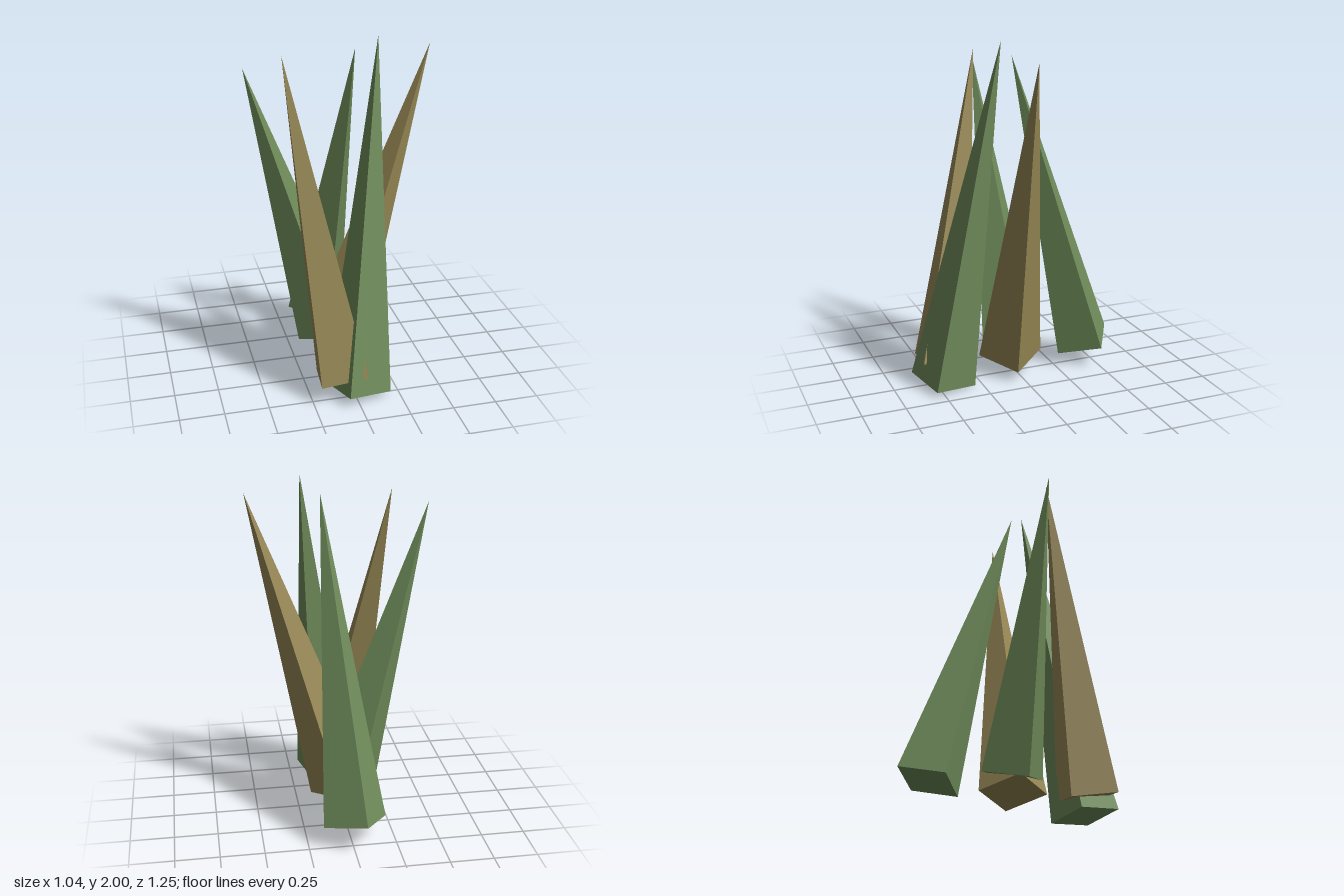
import * as THREE from 'three';

const RADIUS = 0.19; // half diagonal of each square base

// Four-sided spike from its tip, base centre and the direction of one base corner
function makeSpike(name, material, tip, base, corner) {
  const t = new THREE.Vector3(...tip);
  const b = new THREE.Vector3(...base);
  const axis = t.clone().sub(b);
  const height = axis.length();
  axis.normalize();
  const out = new THREE.Vector3(...corner).sub(b);
  out.addScaledVector(axis, -out.dot(axis)).normalize();
  const side = new THREE.Vector3().crossVectors(axis, out);

  const geometry = new THREE.ConeGeometry(RADIUS, height, 4).toNonIndexed();
  geometry.computeVertexNormals(); // flat facets
  geometry.translate(0, height / 2, 0);
  geometry.applyMatrix4(new THREE.Matrix4().makeBasis(side, axis, out).setPosition(b));

  const mesh = new THREE.Mesh(geometry, material);
  mesh.name = name;
  return mesh;
}

export function createModel() {
  const green = new THREE.MeshStandardMaterial({ color: 0x6f8c5a });
  green.name = 'leafGreen';
  const straw = new THREE.MeshStandardMaterial({ color: 0x988956 });
  straw.name = 'dryStraw';

  const group = new THREE.Group();
  group.name = 'grassTuft';

  // Each blade: name, colour, tip, base centre, one base corner
  const blades = [
    ['frontBlade', green, [0.2, 2.0, 0.16], [0.025, 0.037, 0.46], [-0.06, 0.07, 0.62]],
    ['frontRightBlade', straw, [-0.32, 1.91, 0.13], [-0.062, 0.12, 0.44], [0.057, 0.165, 0.585]],
    ['rightBlade', green, [-0.52, 1.84, 0.07], [-0.05, 0.2, 0.01], [-0.08, 0.19, -0.18]],
    ['leftBlade', straw, [0.52, 1.92, 0.075], [-0.012, 0.12, 0.027], [-0.033, 0.12, 0.213]],
    ['backBlade', green, [0.1, 1.91, 0.06], [-0.018, 0.13, -0.45], [-0.06, 0.185, -0.625]],
  ];
  for (const blade of blades) group.add(makeSpike(...blade));

  return group;
}
